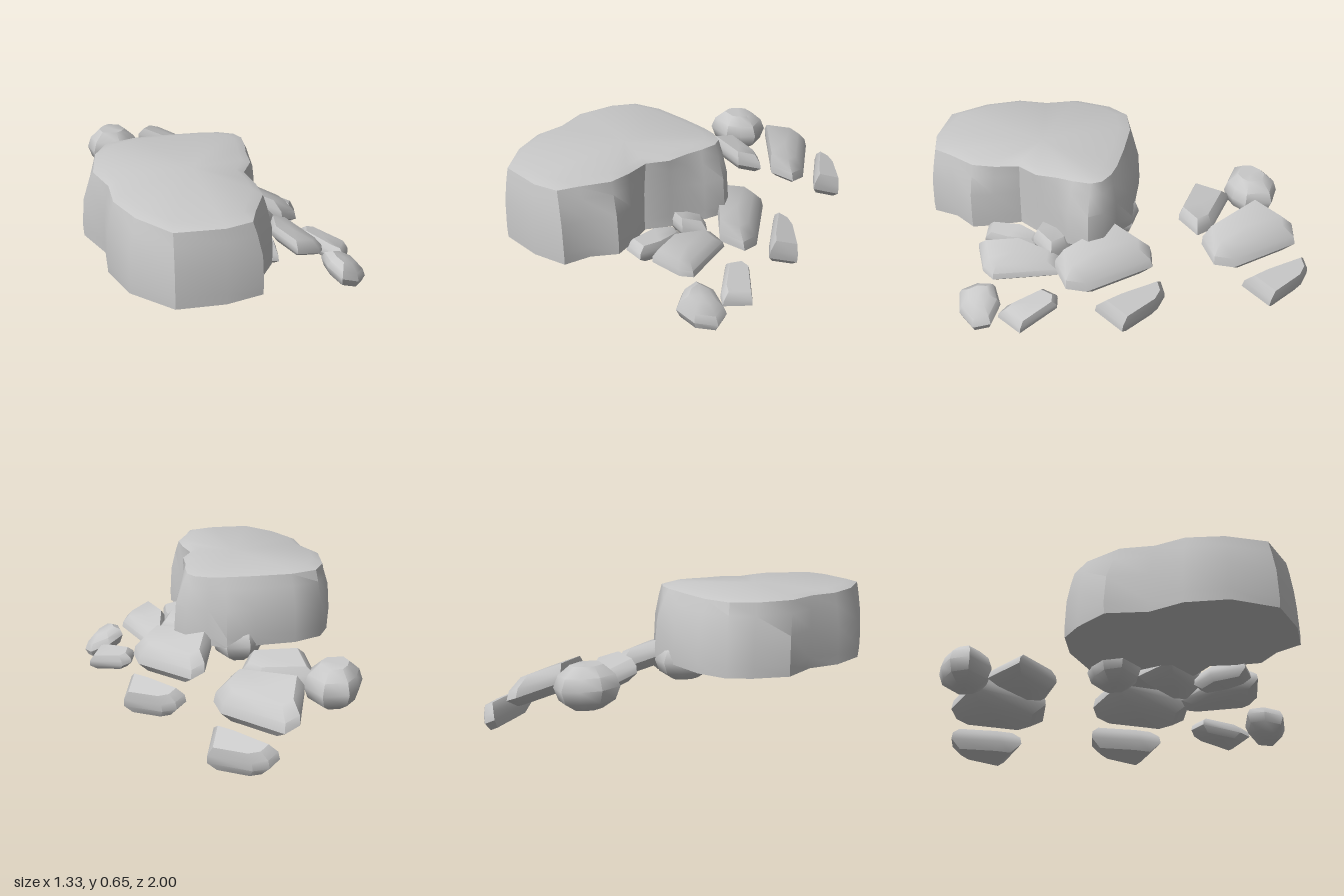
import * as THREE from 'three';
import { toCreasedNormals } from 'three/addons/utils/BufferGeometryUtils.js';

const rock = new THREE.MeshStandardMaterial({ color: 0xc8c8c8 });
rock.name = 'rock grey';

// Closed skin over rings of [x, y, z] points, listed bottom to top, clockwise from above
function loft(name, rings, crease) {
  const n = rings[0].length, pos = [];
  const tri = (...pts) => pts.forEach((p) => pos.push(...p));
  const middle = (ring) => [0, 1, 2].map((k) => ring.reduce((s, p) => s + p[k], 0) / n);
  const low = rings[0], high = rings[rings.length - 1];
  const lowMid = middle(low), highMid = middle(high);
  for (let j = 0; j < n; j++) {
    const k = (j + 1) % n;
    for (let i = 0; i < rings.length - 1; i++) {
      const a = rings[i], b = rings[i + 1];
      tri(a[j], b[j], b[k]);
      tri(a[j], b[k], a[k]);
    }
    tri(lowMid, low[j], low[k]);
    tri(highMid, high[k], high[j]);
  }
  const g = new THREE.BufferGeometry();
  g.setAttribute('position', new THREE.Float32BufferAttribute(pos, 3));
  const mesh = new THREE.Mesh(toCreasedNormals(g, crease), rock);
  mesh.name = name;
  return mesh;
}

const ANGULAR = [[0.72, -1], [1, -0.35], [0.97, 0.25], [0.76, 0.9]];
const ROUNDED = [[0.45, -1], [0.85, -0.6], [1, 0], [0.86, 0.55], [0.5, 1]];

// Loose stone: plan outline [x, z], mid height, half thickness, slopes along x and z,
// and how far its top leans in x and z
function stone(name, outline, y, half, slope, lean = [0, 0], profile = ANGULAR) {
  const cx = outline.reduce((s, p) => s + p[0], 0) / outline.length;
  const cz = outline.reduce((s, p) => s + p[1], 0) / outline.length;
  const rings = profile.map(([scale, h]) => outline.map(([x, z]) => {
    const shift = Math.max(h, 0);
    const dx = (x - cx) * scale + lean[0] * shift, dz = (z - cz) * scale + lean[1] * shift;
    return [cx + dx, y + dx * slope[0] + dz * slope[1] + h * half, cz + dz];
  }));
  return loft(name, rings, 0.75);
}

// Large slab: each row is top x, z then widest x, z
function bigSlab() {
  const plan = [
    [-0.2, -0.01, -0.2, -0.07], [-0.05, -0.01, -0.05, -0.09], [0.03, 0, 0.04, -0.03],
    [0.1, 0.03, 0.15, 0.01], [0.13, 0.08, 0.2, 0.08], [0.13, 0.17, 0.18, 0.19],
    [0.12, 0.25, 0.13, 0.26], [0.12, 0.36, 0.12, 0.36], [0.07, 0.46, 0.06, 0.47],
    [0.1, 0.58, 0.12, 0.59], [0.11, 0.69, 0.16, 0.7], [0.05, 0.83, 0.09, 0.81],
    [0.02, 0.92, 0.07, 0.94], [-0.1, 0.96, -0.1, 0.99], [-0.32, 0.96, -0.32, 0.995],
    [-0.46, 0.81, -0.5, 0.84], [-0.54, 0.65, -0.58, 0.65], [-0.55, 0.5, -0.58, 0.48],
    [-0.61, 0.35, -0.67, 0.3], [-0.59, 0.16, -0.62, 0.13], [-0.53, 0.05, -0.56, 0.02],
    [-0.39, 0, -0.41, -0.05],
  ];
  // Height, share of the widest outline, scale about the middle
  const levels = [
    [0.288, 0.95, 1], [0.34, 1, 1], [0.48, 0.85, 1],
    [0.58, 0.38, 1], [0.64, 0, 1], [0.658, 0, 0.88],
  ];
  const rings = levels.map(([y, wide, scale]) => plan.map(([tx, tz, wx, wz]) => {
    const x = tx + (wx - tx) * wide, z = tz + (wz - tz) * wide;
    return [-0.23 + (x + 0.23) * scale, y, 0.46 + (z - 0.46) * scale];
  }));
  return loft('largeSlab', rings, 0.7);
}

// Four stones that slide down one beside another
function rubbleCluster(name) {
  const g = new THREE.Group();
  g.name = name;
  g.add(
    stone('longStone', [[-0.31, -0.71], [-0.25, -0.9], [-0.18, -0.92], [0.06, -0.64], [0.08, -0.54], [-0.01, -0.46]],
      0.26, 0.07, [-0.33, 0.22], [-0.02, 0.02]),
    stone('outerStone', [[-0.15, -0.97], [-0.1, -1], [-0.03, -0.98], [0.15, -0.84], [0.1, -0.69], [0.02, -0.77]],
      0.12, 0.068, [-0.35, 0.3], [0.015, -0.015]),
    stone('flatStone', [[-0.41, -0.54], [-0.14, -0.49], [-0.06, -0.43], [-0.12, -0.32], [-0.39, -0.36]],
      0.305, 0.055, [-0.1, 0.3], [0, 0.01]),
    stone('roundStone', [[-0.32, -0.64], [-0.36, -0.56], [-0.42, -0.51], [-0.57, -0.53], [-0.6, -0.63],
      [-0.56, -0.72], [-0.5, -0.78], [-0.38, -0.77]], 0.315, 0.1, [-0.05, 0.05], [0, 0], ROUNDED),
  );
  return g;
}

export function createModel() {
  const model = new THREE.Group();
  model.name = 'rockPile';
  model.add(bigSlab());

  // Rear cluster and its twin beside the slab
  const side = rubbleCluster('sideRubble');
  side.position.set(0.33, -0.018, 0.68);
  model.add(rubbleCluster('rearRubble'), side);

  // Smaller stones at the front left
  const front = new THREE.Group();
  front.name = 'frontRubble';
  front.add(
    stone('longStone', [[0.22, 0.42], [0.25, 0.21], [0.33, 0.2], [0.45, 0.5], [0.42, 0.56], [0.3, 0.62]],
      0.255, 0.045, [-0.3, 0.15], [-0.01, 0.01]),
    stone('outerStone', [[0.4, 0.26], [0.42, 0.18], [0.47, 0.17], [0.64, 0.31], [0.58, 0.44], [0.53, 0.41]],
      0.125, 0.045, [-0.3, 0.05], [0.01, -0.01]),
    stone('flatStone', [[0.1, 0.45], [0.14, 0.34], [0.2, 0.35], [0.22, 0.5], [0.21, 0.62], [0.12, 0.63]],
      0.265, 0.045, [-0.2, 0.05]),
    stone('roundStone', [[0.66, 0.54], [0.6, 0.63], [0.51, 0.66], [0.46, 0.58], [0.45, 0.49], [0.53, 0.44], [0.63, 0.46]],
      0.125, 0.065, [-0.45, 0], [0, 0], ROUNDED),
  );
  model.add(front);
  return model;
}
